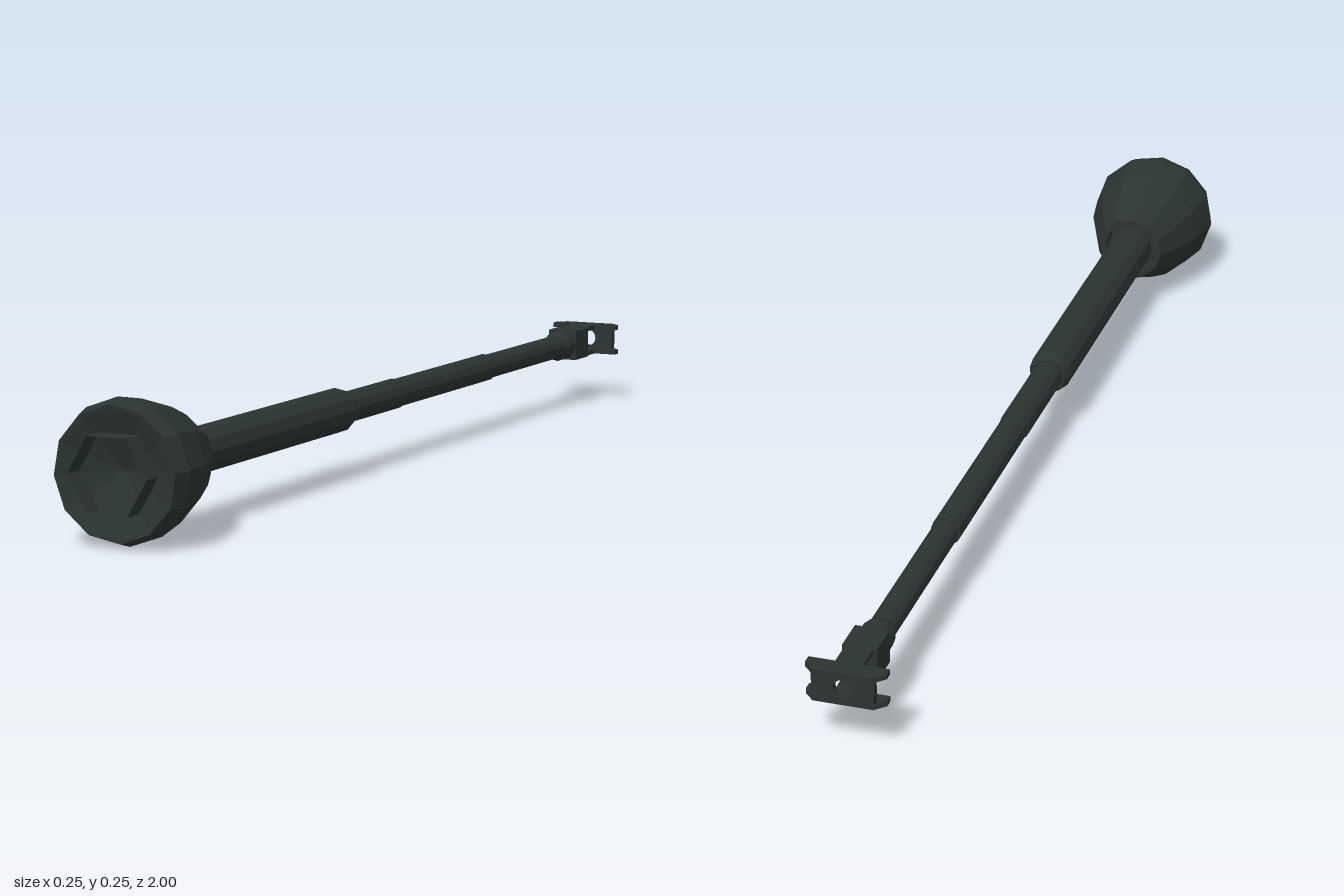
import * as THREE from 'three';

export function createModel() {
  const model = new THREE.Group();
  const metal = new THREE.MeshStandardMaterial({ color: 0x2b3432, flatShading: true, side: THREE.DoubleSide });
  metal.name = 'dark green metal';
  const axisY = 0.125;

  const add = (name, geometry, x = 0, y = 0, z = 0) => {
    const mesh = new THREE.Mesh(geometry, metal);
    mesh.name = name;
    mesh.position.set(x, axisY + y, z);
    model.add(mesh);
  };

  // Faceted turned part along z; profile is [radius, z] from back to front
  const turned = (name, profile, sides = 12, startDeg = 4.7) => {
    const points = profile.map(([r, z]) => new THREE.Vector2(r, z));
    const start = THREE.MathUtils.degToRad(startDeg);
    add(name, new THREE.LatheGeometry(points, sides, start).rotateX(Math.PI / 2));
  };

  // Bulbous head with a shallow dish in its front
  turned('head', [
    [0, 0.775], [0.05, 0.775], [0.053, 0.76], [0.064, 0.76], [0.086, 0.805],
    [0.11, 0.87], [0.123, 0.945], [0.114, 0.976], [0.106, 0.974], [0, 0.935],
  ]);

  // Thin six-sided socket in the dish
  turned('hexSocket', [[0.074, 0.945], [0.074, 1]], 6, 30);

  // Thick sleeve and the stepped telescopic rod
  turned('sleeve', [[0, 0.165], [0.034, 0.165], [0.041, 0.185], [0.041, 0.79]]);
  turned('rodFront', [[0, -0.05], [0.029, -0.05], [0.029, 0.18]]);
  turned('rodMiddle', [[0, -0.46], [0.027, -0.46], [0.027, -0.04]]);
  turned('rodBack', [[0, -0.86], [0.024, -0.86], [0.024, -0.45]]);
  turned('rodCollar', [[0, -0.865], [0.027, -0.865], [0.03, -0.855], [0.03, -0.82], [0.024, -0.805]]);

  // Square socket block at the end of the rod
  add('endBlock', new THREE.BoxGeometry(0.06, 0.06, 0.065), 0, 0, -0.8825);

  // Crosspiece outline, seen from above
  const flange = new THREE.Shape();
  flange.moveTo(-0.07, 0.965);
  flange.lineTo(0.07, 0.965);
  flange.lineTo(0.07, 0.982);
  flange.lineTo(0.052, 1);
  flange.lineTo(-0.052, 1);
  flange.lineTo(-0.07, 0.982);
  flange.closePath();

  // Upper and lower straps and flanges, leaving an open slot through the side
  for (const s of [1, -1]) {
    const side = s > 0 ? 'upper' : 'lower';
    add(side + 'Strap', new THREE.BoxGeometry(0.048, 0.009, 0.08), 0, s * 0.0255, -0.945);
    const geometry = new THREE.ExtrudeGeometry(flange, { depth: 0.009, bevelEnabled: false });
    geometry.translate(0, 0, -0.0045).rotateX(-Math.PI / 2);
    add(side + 'Flange', geometry, 0, s * 0.0255, 0);
  }

  // Back plate of the crosspiece with a round hole
  const plate = new THREE.Shape();
  plate.moveTo(-0.054, -0.03);
  plate.lineTo(0.054, -0.03);
  plate.lineTo(0.054, 0.03);
  plate.lineTo(-0.054, 0.03);
  plate.closePath();
  plate.holes.push(new THREE.Path().absarc(0, 0, 0.017, 0, Math.PI * 2, true));
  add('backPlate', new THREE.ExtrudeGeometry(plate, { depth: 0.014, bevelEnabled: false, curveSegments: 8 }), 0, 0, -1);

  return model;
}
